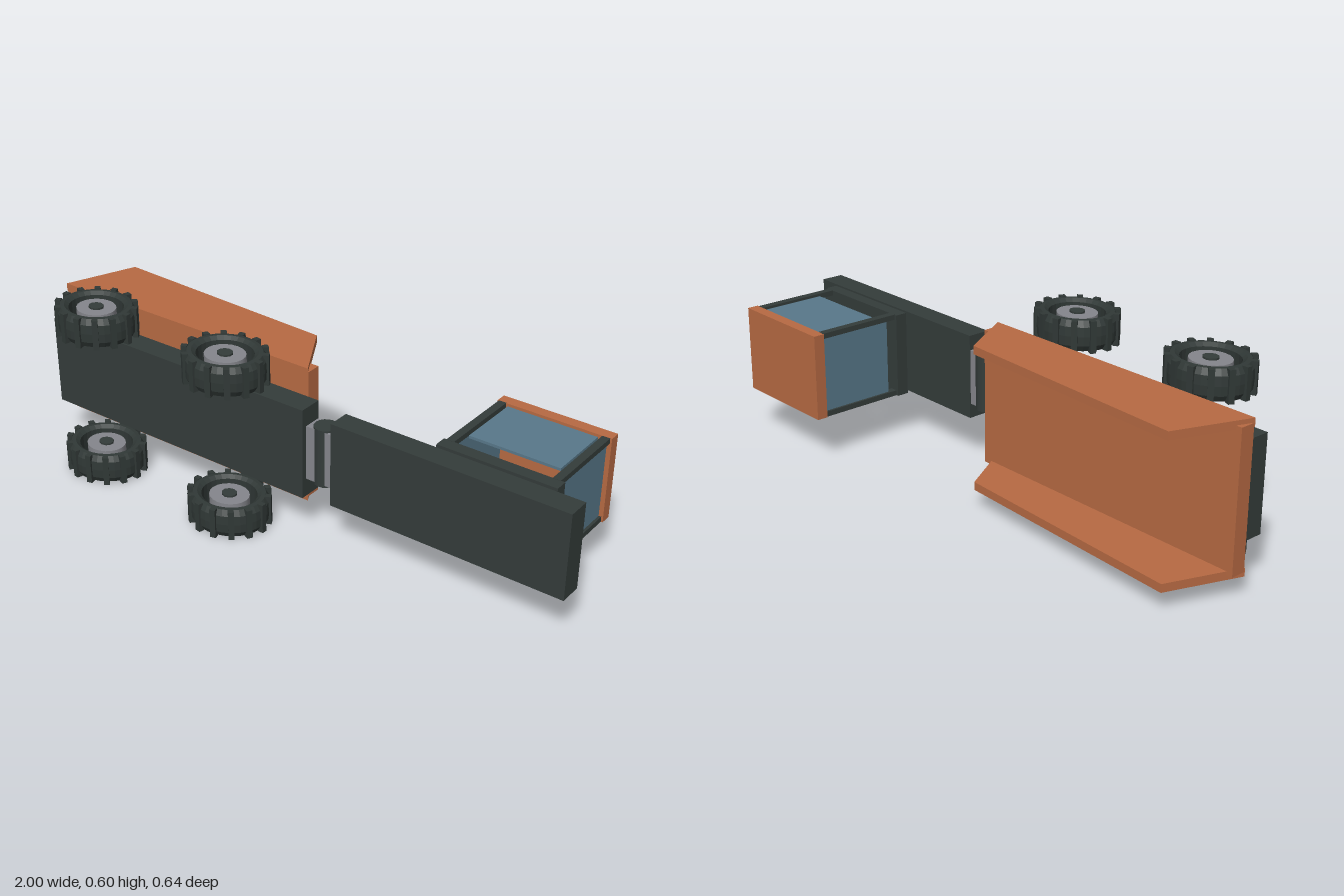
import * as THREE from 'three';

const mat = (name, color, extra = {}) => {
  const m = new THREE.MeshStandardMaterial({ color, ...extra });
  m.name = name;
  return m;
};

export function createModel() {
  const model = new THREE.Group();
  model.name = 'articulatedDumpTruck';

  const dark = mat('darkFrame', 0x343c3a);
  const rubber = mat('tyreRubber', 0x303836);
  const orange = mat('orangePaint', 0xb76a43);
  const glass = mat('blueGlass', 0x58788a);
  const steel = mat('greySteel', 0x85868c);

  const add = (parent, name, geometry, material, x = 0, y = 0, z = 0) => {
    const mesh = new THREE.Mesh(geometry, material);
    mesh.name = name;
    mesh.position.set(x, y, z);
    parent.add(mesh);
    return mesh;
  };
  // box from its minimum and maximum on each axis
  const box = (name, material, [x0, x1], [y0, y1], [z0, z1], parent = model) =>
    add(parent, name, new THREE.BoxGeometry(x1 - x0, y1 - y0, z1 - z0), material,
      (x0 + x1) / 2, (y0 + y1) / 2, (z0 + z1) / 2);

  // the truck lies on its side: its roof points to -z, its axles run along y
  const mid = 0.303;

  // frames and the joint between them
  box('rearFrame', dark, [-0.965, 0.087], [0.148, 0.459], [0.063, 0.144]);
  box('bedSupport', dark, [-0.72, -0.03], [0.18, 0.426], [0.056, 0.063]);
  box('frontFrame', dark, [0.19, 1.0], [0.16, 0.447], [0.063, 0.14]);
  box('jointBlock', steel, [0.087, 0.19], [0.21, 0.397], [0.066, 0.125]);
  add(model, 'jointPin', new THREE.CylinderGeometry(0.038, 0.038, 0.2, 16), dark, 0.138, mid, 0.093);

  // dump bed: floor and two sloping side walls
  box('bedFloor', orange, [-1.0, 0.03], [0.08, 0.527], [-0.012, 0.038]);
  const wallShape = new THREE.Shape([[-1, -0.042], [0.03, -0.042], [-0.085, 0.156], [-0.91, 0.2]]
    .map(([x, h]) => new THREE.Vector2(x, h)));
  const wallGeometry = new THREE.ExtrudeGeometry(wallShape, { depth: 0.027, bevelEnabled: false });
  wallGeometry.rotateX(-Math.PI / 2); // shape height now points to -z, thickness to +y
  for (const [name, y] of [['bedRightWall', 0.065], ['bedLeftWall', 0.514]]) {
    add(model, name, wallGeometry, orange, 0, y, 0);
  }

  // cab: platform, posts, panes and roof
  const cab = new THREE.Group();
  cab.name = 'cab';
  model.add(cab);
  box('cabPlatform', dark, [0.505, 0.905], [0.158, 0.448], [0.008, 0.05], cab);
  box('cabSeat', dark, [0.61, 0.735], [0.245, 0.364], [-0.06, 0.01], cab);
  box('cabRoof', orange, [0.51, 0.898], [0.158, 0.449], [-0.322, -0.284], cab);
  for (const x of [0.514, 0.866]) {
    for (const y of [0.158, 0.431]) {
      box('cabPost', dark, [x, x + 0.026], [y, y + 0.018], [-0.286, 0.01], cab);
    }
    box('endPane', glass, [x + 0.008, x + 0.017], [0.176, 0.431], [-0.284, -0.02], cab);
  }
  for (const y of [0.163, 0.435]) {
    box('sidePane', glass, [0.55, 0.856], [y, y + 0.009], [-0.277, -0.056], cab);
  }

  // wheels: open tyre ring with tread lugs, hub and axle cap
  const tyreProfile = [[0.094, -0.04], [0.108, -0.05], [0.122, -0.049], [0.134, -0.03],
    [0.136, 0], [0.134, 0.03], [0.122, 0.049], [0.108, 0.05], [0.094, 0.04], [0.094, -0.04]]
    .map(([r, y]) => new THREE.Vector2(r, y));
  const tyreGeometry = new THREE.LatheGeometry(tyreProfile, 28).toNonIndexed();
  tyreGeometry.computeVertexNormals();
  const lugGeometry = new THREE.BoxGeometry(0.02, 0.102, 0.02);
  const hubGeometry = new THREE.CylinderGeometry(0.068, 0.068, 0.076, 20);
  const capGeometry = new THREE.CylinderGeometry(0.026, 0.026, 0.088, 10);
  const lugs = 14;

  for (const x of [-0.71, -0.17]) {
    for (const [side, y] of [['right', 0.052], ['left', 0.554]]) {
      const wheel = new THREE.Group();
      wheel.name = side + 'Wheel';
      wheel.position.set(x, y, 0.192);
      wheel.scale.z = 0.89;
      model.add(wheel);
      add(wheel, 'tyre', tyreGeometry, rubber);
      add(wheel, 'hub', hubGeometry, steel);
      add(wheel, 'axleCap', capGeometry, dark);
      for (let i = 0; i < lugs; i++) {
        const a = (i / lugs) * Math.PI * 2;
        const lug = add(wheel, 'treadLug', lugGeometry, rubber, Math.cos(a) * 0.132, 0, -Math.sin(a) * 0.132);
        lug.rotation.y = a;
      }
    }
  }
  return model;
}
